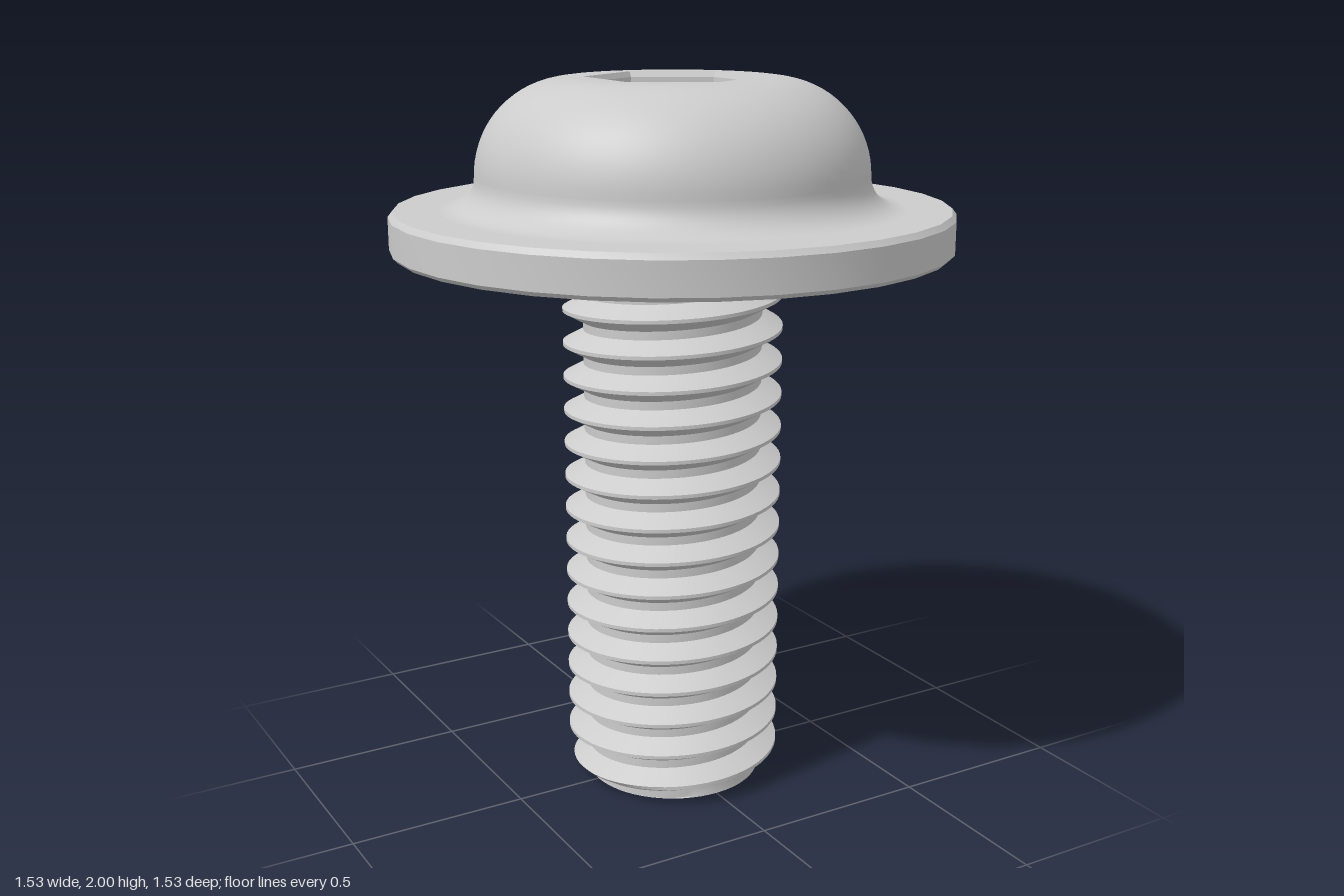
import * as THREE from 'three';
import { toCreasedNormals } from 'three/addons/utils/BufferGeometryUtils.js';

const material = new THREE.MeshStandardMaterial({ color: 0xcccccc });

function addMesh(group, name, geometry, crease = 0.5) {
  const mesh = new THREE.Mesh(toCreasedNormals(geometry, crease), material);
  mesh.name = name;
  group.add(mesh);
}

const lathe = (points, segments) =>
  new THREE.LatheGeometry(points.map(([r, y]) => new THREE.Vector2(r, y)), segments);

// Quarter-ellipse points between two angles
function arc(cx, cy, rx, ry, from, to, steps) {
  return Array.from({ length: steps + 1 }, (_, i) => {
    const a = from + (to - from) * i / steps;
    return [cx + rx * Math.cos(a), cy + ry * Math.sin(a)];
  });
}

// Right-handed helical thread, cut off at both ends and chamfered at the tip
function threadGeometry() {
  const pitch = 0.0955, major = 0.305, minor = 0.248, top = 1.545, phase = 0.14, sides = 64;
  const profile = [[-0.036, minor], [-0.005, major], [0.005, major], [0.036, minor]];
  const rows = [];
  for (let n = -4; n < 17; n++) for (const [dy, r] of profile) rows.push([n * pitch + dy, r]);
  const positions = [], indices = [];
  for (const [offset, radius] of rows) {
    for (let i = 0; i <= sides; i++) {
      const a = i / sides * Math.PI * 2; // starts at -x and runs towards +z
      const y = THREE.MathUtils.clamp(phase + offset + pitch * i / sides, 0, top);
      const r = Math.min(radius, 0.25 + y);
      positions.push(-r * Math.cos(a), y, r * Math.sin(a));
    }
  }
  for (let j = 0; j < rows.length - 1; j++) {
    for (let i = 0; i < sides; i++) {
      const a = j * (sides + 1) + i, b = a + 1, c = a + sides + 1, d = c + 1;
      indices.push(a, b, d, a, d, c);
    }
  }
  const geometry = new THREE.BufferGeometry();
  geometry.setAttribute('position', new THREE.Float32BufferAttribute(positions, 3));
  geometry.setIndex(indices);
  return geometry;
}

export function createModel() {
  const bolt = new THREE.Group();
  bolt.name = 'flangedBolt';

  // Threaded shank and its flat end
  addMesh(bolt, 'threadedShank', threadGeometry());
  const end = new THREE.CircleGeometry(0.25, 64);
  end.rotateX(Math.PI / 2);
  addMesh(bolt, 'shankEnd', end);

  // Washer-like flange with small edge chamfers
  addMesh(bolt, 'flange', lathe([
    [0, 1.54], [0.755, 1.54], [0.767, 1.552], [0.767, 1.64], [0.755, 1.655], [0.5, 1.655],
  ], 32));

  // Domed head with a concave fillet down to the flange
  const topRadius = 0.275;
  addMesh(bolt, 'headFillet',
    lathe(arc(0.63, 1.74, 0.095, 0.085, Math.PI * 1.5, Math.PI, 10), 64));
  addMesh(bolt, 'headDome',
    lathe(arc(topRadius, 1.74, 0.26, 0.26, 0, Math.PI / 2, 18), 64));

  // Flat crown with a hexagonal opening
  const hexRadius = 0.238;
  const ring = (r, n) => Array.from({ length: n }, (_, i) => {
    const a = i / n * Math.PI * 2;
    return new THREE.Vector2(r * Math.sin(a), r * Math.cos(a));
  });
  const crown = new THREE.Shape(ring(topRadius, 64));
  crown.holes.push(new THREE.Path(ring(hexRadius, 6)));
  const crownGeometry = new THREE.ShapeGeometry(crown);
  crownGeometry.rotateX(-Math.PI / 2);
  crownGeometry.translate(0, 2, 0);
  addMesh(bolt, 'headCrown', crownGeometry);

  // Hex socket walls and shallow conical floor
  addMesh(bolt, 'hexSocket', lathe([
    [hexRadius, 2], [0.23, 1.985], [0.23, 1.75], [0, 1.71],
  ], 6), 0.1);

  return bolt;
}
